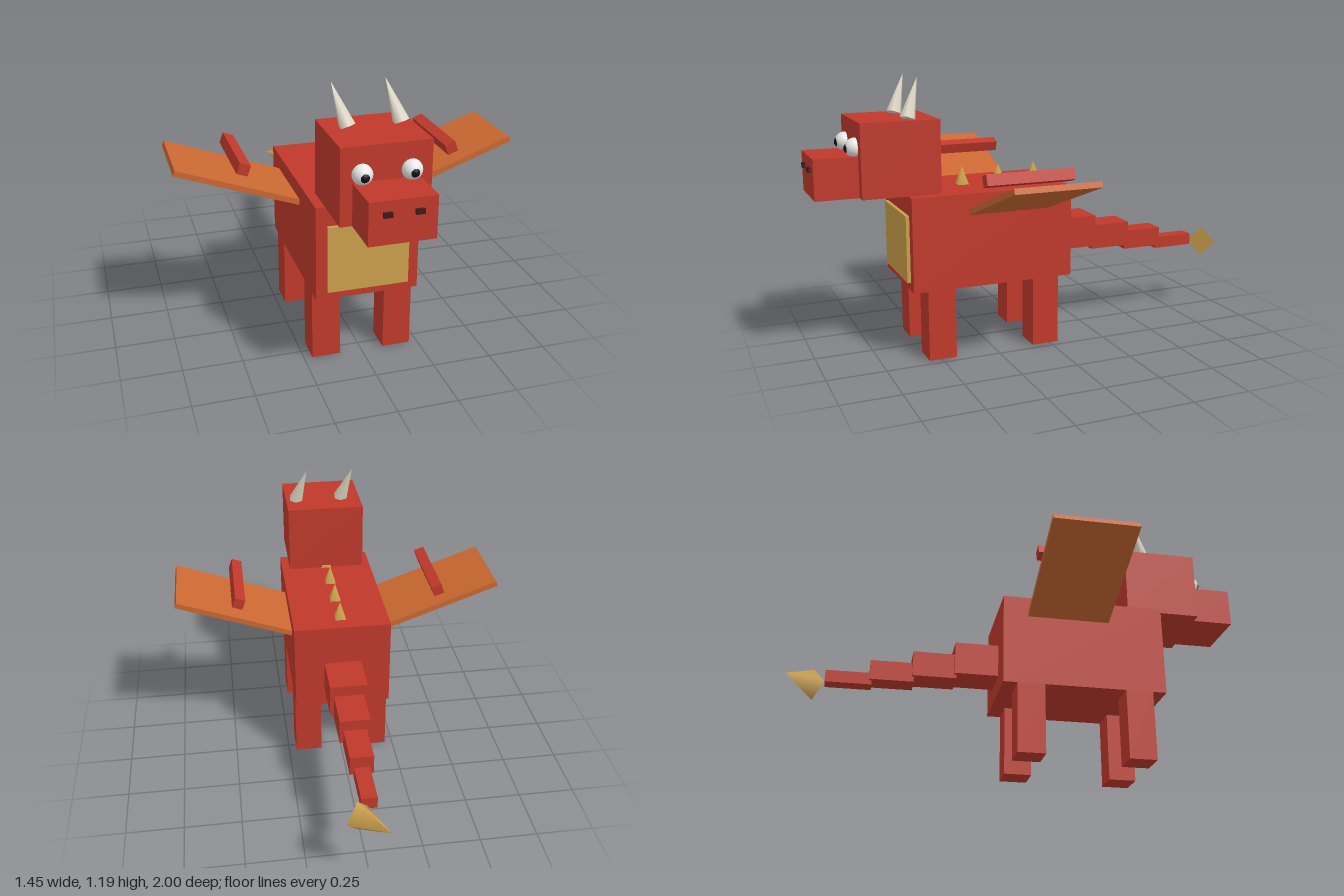
import * as THREE from 'three';

const mat = (name, color) => {
  const m = new THREE.MeshStandardMaterial({ color });
  m.name = name;
  return m;
};

export function createModel() {
  const red = mat('red', 0xc0392b);
  const orange = mat('orange', 0xcb6832);
  const gold = mat('gold', 0xcba04c);
  const ivory = mat('ivory', 0xe0d8c6);
  const white = mat('white', 0xf5f5f5);
  const black = mat('black', 0x111111);
  const maroon = mat('maroon', 0x3c1a1a);

  const model = new THREE.Group();
  model.name = 'dragon';

  const add = (name, geometry, material, x, y, z) => {
    const mesh = new THREE.Mesh(geometry, material);
    mesh.name = name;
    mesh.position.set(x, y, z);
    model.add(mesh);
    return mesh;
  };
  // Box given by its x half-width and its y and z limits
  const block = (name, material, half, y0, y1, z0, z1, x = 0) =>
    add(name, new THREE.BoxGeometry(half * 2, y1 - y0, z1 - z0), material,
      x, (y0 + y1) / 2, (z0 + z1) / 2);

  // Body, chest plate, head and snout
  block('body', red, 0.215, 0.305, 0.708, -0.1, 0.615);
  block('chestPlate', gold, 0.17, 0.34, 0.626, 0.6, 0.63);
  block('head', red, 0.178, 0.71, 1.02, 0.475, 0.807);
  block('snout', red, 0.13, 0.71, 0.88, 0.8, 0.988);

  for (const side of [-1, 1]) {
    const s = side < 0 ? 'right' : 'left';

    // Legs
    block(s + 'FrontLeg', red, 0.06, 0, 0.31, 0.435, 0.555, side * 0.155);
    block(s + 'BackLeg', red, 0.06, 0, 0.31, -0.04, 0.08, side * 0.155);

    // Eyes and nostrils
    add(s + 'Eye', new THREE.SphereGeometry(0.04, 20, 14), white, side * 0.096, 0.913, 0.813);
    add(s + 'Pupil', new THREE.SphereGeometry(0.021, 16, 12), black, side * 0.096, 0.911, 0.837);
    block(s + 'Nostril', maroon, 0.017, 0.818, 0.838, 0.98, 1, side * 0.06);

    // Wing and the loose wing bar above it, both tilted upwards
    const wing = add(s + 'Wing', new THREE.BoxGeometry(0.6, 0.024, 0.36), orange,
      side * 0.437, 0.711, 0.19);
    wing.rotation.z = side * 0.348;
    const bar = add(s + 'WingBar', new THREE.BoxGeometry(0.047, 0.047, 0.38), red,
      side * 0.445, 0.804, 0.193);
    bar.rotation.z = side * 0.348;
  }

  // Horns both lean the same way, back and to the right
  const up = new THREE.Vector3(0, 1, 0);
  const lean = new THREE.Vector3(-0.05, 0.17, -0.06).normalize();
  for (const x of [-0.11, 0.106]) {
    const horn = add('horn', new THREE.ConeGeometry(0.034, 0.18, 6), ivory, x, 1.105, 0.57);
    horn.quaternion.setFromUnitVectors(up, lean);
  }

  // Back spikes; the front one is mostly inside the head
  for (let i = 0; i < 4; i++) {
    const spike = add('backSpike', new THREE.ConeGeometry(0.042, 0.1, 4), gold,
      0, 0.738, -0.012 + i * 0.169);
    spike.rotation.y = Math.PI / 4;
  }

  // Tapering tail: half-width, y limits, z limits
  const tail = [
    [0.083, 0.383, 0.527, -0.29, -0.09],
    [0.066, 0.365, 0.477, -0.47, -0.28],
    [0.05, 0.341, 0.428, -0.65, -0.462],
    [0.033, 0.322, 0.375, -0.836, -0.64],
  ];
  tail.forEach((t, i) => block('tailSegment' + (i + 1), red, ...t));

  // Four-sided tail tip, turned sideways
  const tip = add('tailTip', new THREE.ConeGeometry(0.07, 0.16, 4), gold, 0, 0.338, -0.943);
  tip.quaternion.setFromEuler(new THREE.Euler(-Math.PI / 2, Math.PI / 4, 0, 'YXZ'));

  return model;
}
